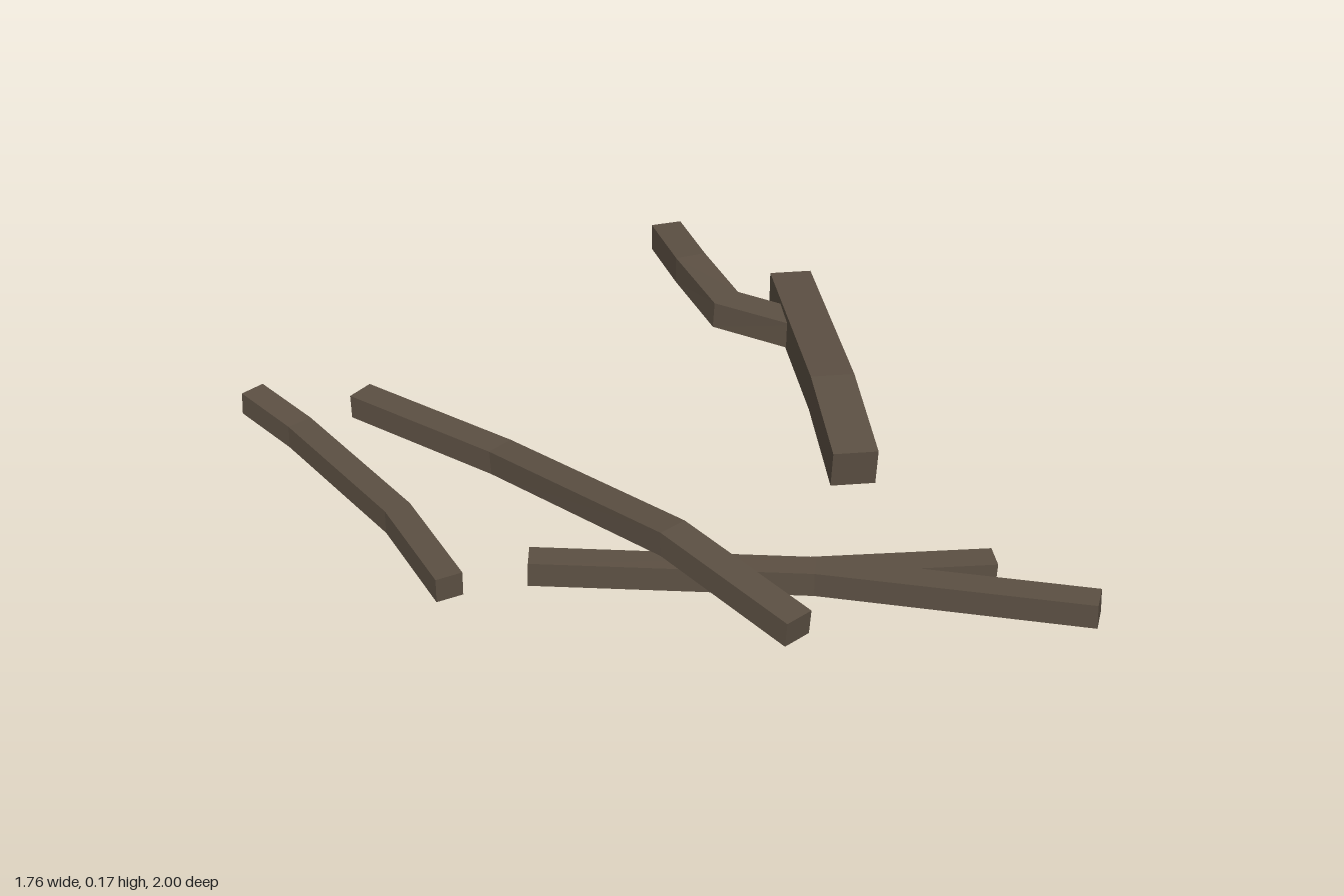
import * as THREE from 'three';

// Square-cut timber swept along a bent centre line, mitred at the bends
function beamGeometry(path, width, height) {
  const pts = path.map((p) => new THREE.Vector3(...p));
  const up = new THREE.Vector3(0, 1, 0);
  const dir = (i) => pts[i + 1].clone().sub(pts[i]).normalize();
  const rings = pts.map((p, i) => {
    const before = dir(Math.max(i - 1, 0));
    const after = dir(Math.min(i, pts.length - 2));
    const t = before.clone().add(after).normalize();
    const side = t.clone().cross(up).normalize();
    const top = side.clone().cross(t);
    const w = width / 2 / t.dot(after);
    const h = height / 2;
    return [[-1, -1], [1, -1], [1, 1], [-1, 1]].map(([a, b]) =>
      p.clone().addScaledVector(side, a * w).addScaledVector(top, b * h));
  });
  const verts = [];
  const quad = (a, b, c, d) => [a, b, c, a, c, d].forEach((v) => verts.push(v.x, v.y, v.z));
  for (let i = 0; i < rings.length - 1; i++) {
    for (let k = 0; k < 4; k++) {
      const n = (k + 1) % 4;
      quad(rings[i][k], rings[i + 1][k], rings[i + 1][n], rings[i][n]);
    }
  }
  const last = rings[rings.length - 1];
  quad(...rings[0]);
  quad(last[3], last[2], last[1], last[0]);
  const geo = new THREE.BufferGeometry();
  geo.setAttribute('position', new THREE.Float32BufferAttribute(verts, 3));
  geo.computeVertexNormals();
  return geo;
}

export function createModel() {
  const group = new THREE.Group();
  const wood = new THREE.MeshStandardMaterial({ color: 0x5c5043, flatShading: true });
  wood.name = 'dark wood';

  const add = (name, width, height, path) => {
    const mesh = new THREE.Mesh(beamGeometry(path, width, height), wood);
    mesh.name = name;
    group.add(mesh);
  };

  // Short stick lying on its own
  add('shortStick', 0.066, 0.062,
    [[-0.853, 0.086, -0.403], [-0.755, 0.07, -0.24], [-0.58, 0.07, 0.19], [-0.513, 0.07, 0.49]]);

  // Long stick arching over the forked one
  add('archedStick', 0.074, 0.064,
    [[-0.578, 0.038, -0.403], [-0.285, 0.052, -0.035], [0, 0.145, 0.53], [0.185, 0.12, 0.89]]);

  // Forked stick and its side twig
  add('forkedStick', 0.066, 0.062,
    [[-0.325, 0.08, 0.468], [0.31, 0.06, 0.64], [0.861, 0.105, 0.966]]);
  add('forkedStickTwig', 0.065, 0.06,
    [[0.3, 0.058, 0.632], [0.725, 0.05, 0.692]]);

  // Thick log and the crooked branch growing from it
  add('thickLog', 0.112, 0.1,
    [[0.539, 0.066, 0.248], [0.58, 0.099, -0.055], [0.655, 0.076, -0.635]]);
  add('crookedBranch', 0.085, 0.075,
    [[0.399, 0.088, -0.997], [0.407, 0.102, -0.77], [0.443, 0.088, -0.545], [0.61, 0.078, -0.405]]);

  return group;
}
